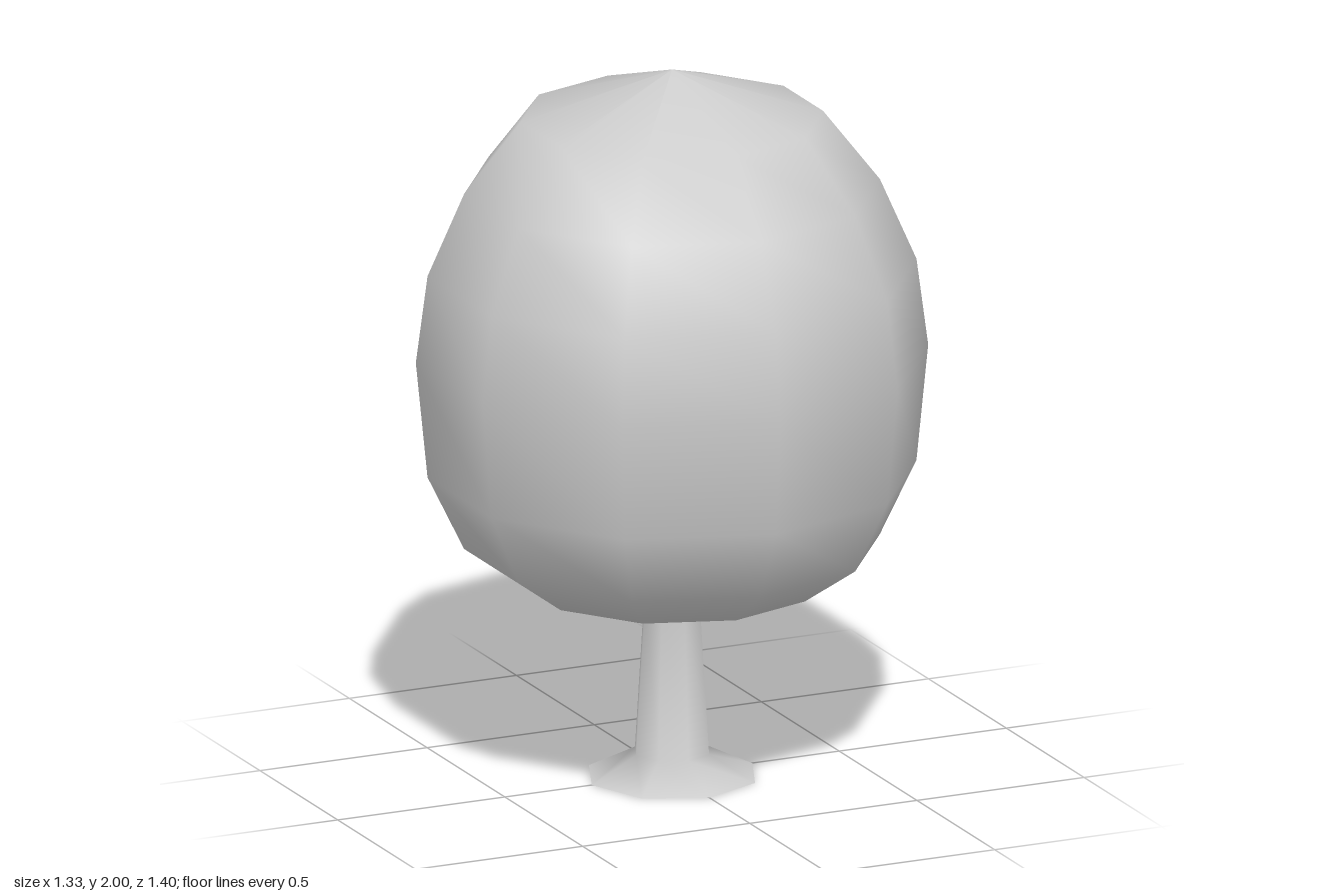
import * as THREE from 'three';

// Turned part with a smooth surface, from [radius, height] pairs listed bottom to top
function turned(name, profile, sides) {
  const points = profile.map(([r, y]) => new THREE.Vector2(r, y));
  const material = new THREE.MeshStandardMaterial({ color: 0xcccccc, side: THREE.DoubleSide });
  const mesh = new THREE.Mesh(new THREE.LatheGeometry(points, sides), material);
  mesh.name = name;
  return mesh;
}

export function createModel() {
  const tree = new THREE.Group();
  tree.name = 'tree';

  // Eight-sided hollow trunk with a flared foot, tapering up into the crown
  tree.add(turned('trunk', [[0.24, 0], [0.107, 0.067], [0.08, 0.5], [0.078, 0.53]], 8));

  // Ten-sided egg-shaped crown
  tree.add(turned('crown', [
    [0, 0.485], [0.413, 0.552], [0.568, 0.66], [0.668, 0.867], [0.7, 1.193],
    [0.668, 1.438], [0.568, 1.668], [0.413, 1.867], [0, 2],
  ], 10));

  return tree;
}
